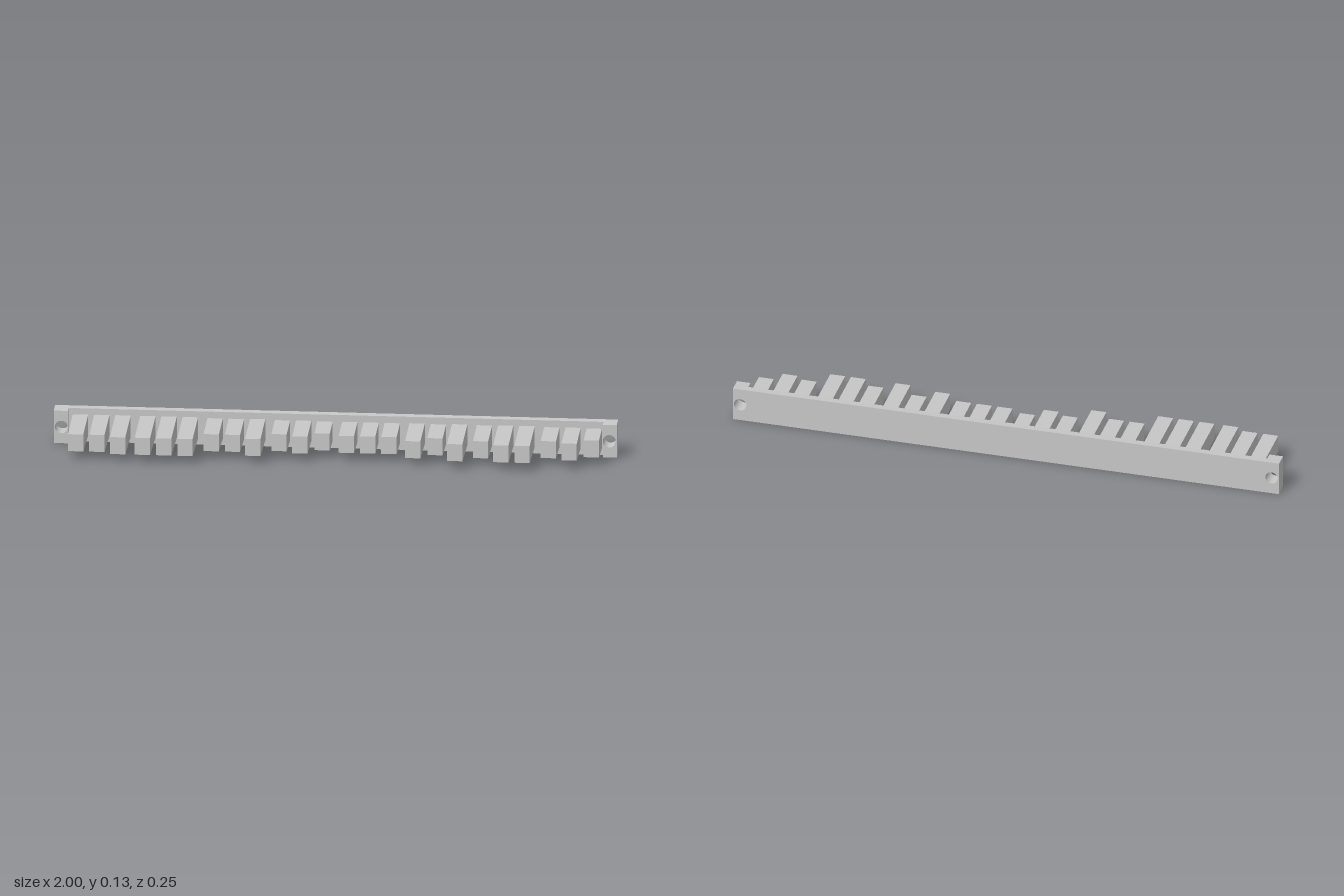
import * as THREE from 'three';

const BACK = -0.127, PLATE_FRONT = -0.1, END_FRONT = -0.07;
const MID_Y = 0.063, HALF_H = 0.063, HOLE_X = 0.973, HOLE_R = 0.023;
const DRAFT = 0.035; // slope of the upper and lower faces of the teeth

// Rectangular slab between two depths, pierced by round holes, narrowing toward the front
function slab(x0, x1, z0, z1, holes) {
  const shape = new THREE.Shape();
  shape.moveTo(x0, -HALF_H).lineTo(x1, -HALF_H).lineTo(x1, HALF_H).lineTo(x0, HALF_H).closePath();
  for (const x of holes) {
    shape.holes.push(new THREE.Path().absarc(x, 0, HOLE_R, 0, Math.PI * 2, true));
  }
  const g = new THREE.ExtrudeGeometry(shape, { depth: z1 - z0, bevelEnabled: false, curveSegments: 16 });
  g.translate(0, 0, z0);
  const p = g.attributes.position;
  for (let i = 0; i < p.count; i++) {
    const taper = 1 - 0.75 * (p.getZ(i) - BACK);
    const y = p.getY(i);
    // keep the holes round, taper only the outer edges
    p.setY(i, MID_Y + (Math.abs(y) > HOLE_R * 1.5 ? y * taper : y));
  }
  g.computeVertexNormals();
  return g;
}

// Box tooth with a fixed tip height and drafted upper and lower faces
function tooth(tip) {
  const root = PLATE_FRONT - 0.004;
  const g = new THREE.BoxGeometry(0.0545, 1, tip - root);
  g.translate(0, 0, (tip + root) / 2);
  const p = g.attributes.position;
  for (let i = 0; i < p.count; i++) {
    const half = 0.0315 + DRAFT * (tip - p.getZ(i));
    p.setY(i, MID_Y + Math.sign(p.getY(i)) * half);
  }
  g.computeVertexNormals();
  return g;
}

export function createModel() {
  const model = new THREE.Group();
  model.name = 'toothedBar';
  const lightGrey = new THREE.MeshStandardMaterial({ color: 0xc7c7c7 });
  lightGrey.name = 'lightGrey';

  const add = (name, geometry, parent = model) => {
    const mesh = new THREE.Mesh(geometry, lightGrey);
    mesh.name = name;
    parent.add(mesh);
    return mesh;
  };

  // Long back plate and raised mounting ends
  add('backPlate', slab(-1, 1, BACK, PLATE_FRONT, [-HOLE_X, HOLE_X]));
  add('rightEnd', slab(-1, -0.95, PLATE_FRONT, END_FRONT, [-HOLE_X]));
  add('leftEnd', slab(0.95, 1, PLATE_FRONT, END_FRONT, [HOLE_X]));

  // Eight groups of three teeth, each reaching its own depth
  const tips = [
    [0.107, 0.107, 0.128], [0.128, 0.128, 0.128], [0.066, 0.066, 0.107], [0.045, 0.066, 0.023],
    [0.045, 0.045, 0.045], [0.086, 0.045, 0.107], [0.066, 0.107, 0.107], [0.045, 0.066, 0.023],
  ];
  tips.forEach((row, i) => {
    const group = new THREE.Group();
    group.name = `toothGroup${i + 1}`;
    group.position.x = -0.832 + i * 0.2391;
    row.forEach((tip, j) => {
      add(`tooth${j + 1}`, tooth(tip), group).position.x = (j - 1) * 0.0755;
    });
    model.add(group);
  });
  return model;
}
